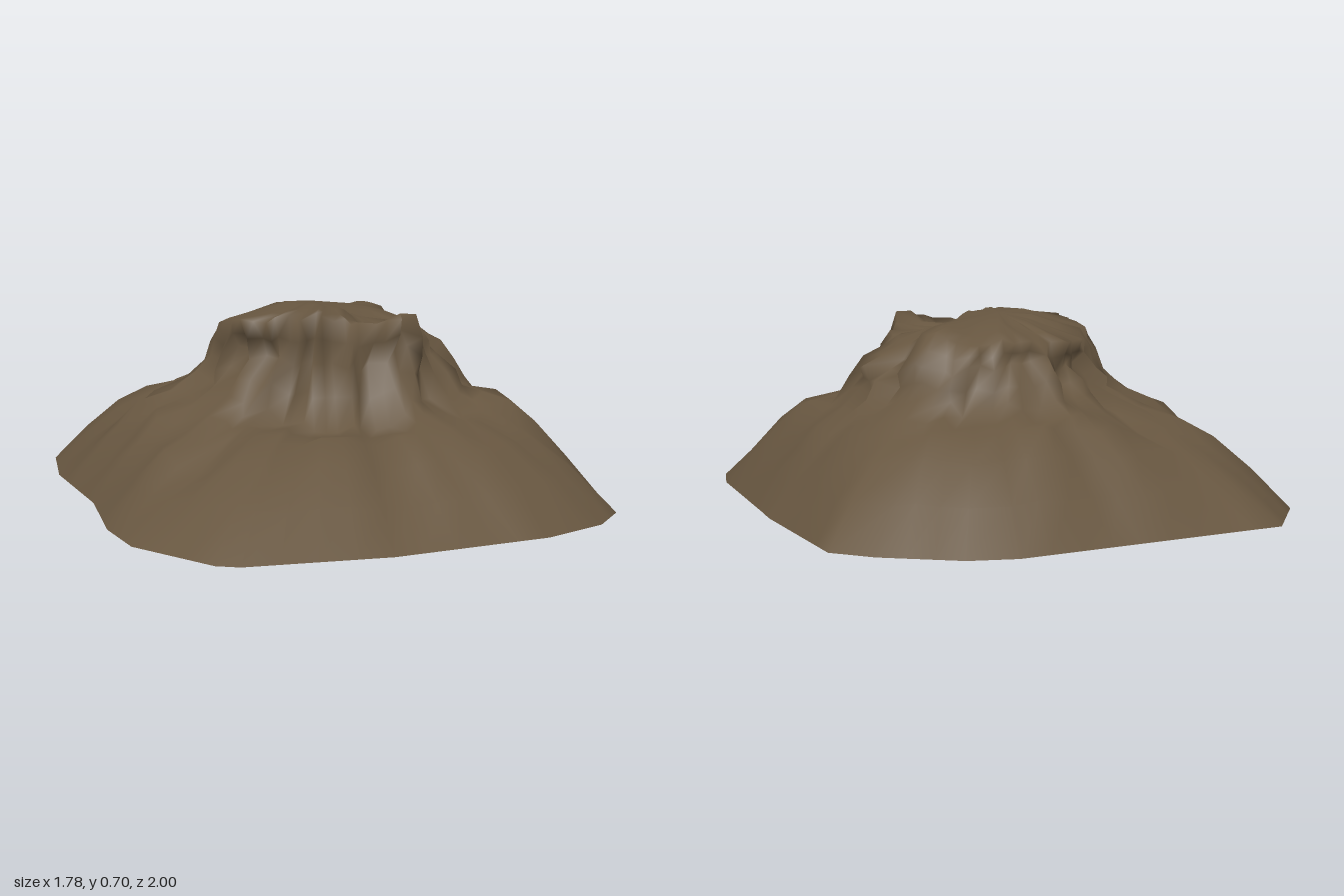
import * as THREE from 'three';

// Foot of the mound seen from above: x, z, height, running from +x towards +z
const OUTLINE = [[0.89, -0.05, 0.02], [0.89, 0.54, 0.01], [0.85, 0.74, 0], [0.72, 0.86, 0], [0.46, 0.97, 0.01],
  [-0.1, 1, 0.01], [-0.59, 0.97, 0.02], [-0.66, 0.93, 0.02], [-0.85, 0.64, 0.02], [-0.88, 0.42, 0.02],
  [-0.86, 0.1, 0.03], [-0.89, -0.4, 0.02], [-0.85, -0.7, 0.02], [-0.65, -0.95, 0.03], [0.32, -1, 0.03],
  [0.48, -0.96, 0.03], [0.71, -0.78, 0.02], [0.83, -0.67, 0.02], [0.89, -0.15, 0.02]];

// Rings above the foot: radius and height every 30 degrees, and crag size
const RINGS = [
  { r: [0.59, 0.66, 0.64, 0.60, 0.63, 0.68, 0.66, 0.71, 0.62, 0.58, 0.62, 0.61],
    y: [0.30, 0.34, 0.30, 0.27, 0.29, 0.28, 0.32, 0.31, 0.32, 0.36, 0.34, 0.33], crag: 0.035 },
  { r: [0.49, 0.49, 0.48, 0.42, 0.43, 0.47, 0.49, 0.46, 0.42, 0.42, 0.45, 0.49],
    y: [0.43, 0.40, 0.37, 0.28, 0.28, 0.36, 0.43, 0.42, 0.40, 0.42, 0.40, 0.42], crag: 0.05 },
  { r: [0.43, 0.38, 0.42, 0.33, 0.30, 0.35, 0.43, 0.38, 0.33, 0.33, 0.37, 0.42],
    y: [0.53, 0.52, 0.52, 0.50, 0.50, 0.52, 0.55, 0.50, 0.50, 0.54, 0.52, 0.53], crag: 0.045 },
  { r: [0.31, 0.30, 0.40, 0.30, 0.33, 0.41, 0.39, 0.36, 0.33, 0.31, 0.33, 0.32],
    y: [0.63, 0.60, 0.64, 0.65, 0.67, 0.65, 0.63, 0.60, 0.60, 0.62, 0.61, 0.63], crag: 0.025 },
  { r: Array(12).fill(0.17),
    y: [0.65, 0.62, 0.64, 0.68, 0.69, 0.69, 0.69, 0.67, 0.66, 0.66, 0.65, 0.66], crag: 0.012 },
];
const CENTRE = [0.06, -0.05], STEP = 0.11;

// Ridges (positive) and hollows (negative): x, z, width, height
const FOLDS = [[-0.68, 0.25, 0.07, 0.03], [-0.58, 0.45, 0.08, -0.04], [-0.5, 0.72, 0.07, 0.03],
  [-0.36, 0.62, 0.07, -0.03], [0.12, 0.2, 0.07, -0.04], [0.24, 0.3, 0.06, 0.03], [0.42, 0.38, 0.08, -0.04],
  [0.6, 0.22, 0.06, 0.03], [0.56, 0.5, 0.07, -0.03], [0.4, -0.12, 0.07, -0.05], [0.28, -0.2, 0.07, 0.02],
  [0.45, -0.58, 0.07, 0.03], [0.08, -0.55, 0.07, -0.03], [-0.12, -0.6, 0.06, 0.03]];

function seeded(seed) {
  return () => {
    seed = (seed * 1664525 + 1013904223) % 4294967296;
    return seed / 2147483648 - 1;
  };
}

// Value of a 12-entry table at an angle
function around(table, angle) {
  const t = ((angle / (Math.PI * 2) + 1) % 1) * 12, i = Math.floor(t) % 12;
  return THREE.MathUtils.lerp(table[i], table[(i + 1) % 12], t - Math.floor(t));
}

function moundGeometry() {
  const rand = seeded(41), rows = [];

  // Foot, following the outline in roughly even steps
  const foot = OUTLINE.flatMap(([x, z, y], i) => {
    const a = new THREE.Vector3(x, y, z), next = OUTLINE[(i + 1) % OUTLINE.length];
    const b = new THREE.Vector3(next[0], next[2], next[1]);
    const steps = Math.max(1, Math.round(a.distanceTo(b) / STEP));
    return Array.from({ length: steps }, (_, s) => a.clone().lerp(b, s / steps));
  });
  rows.push(foot);
  const angles = foot.map(p => Math.atan2(p.z - CENTRE[1], p.x - CENTRE[0]));

  // Apron crest, cliff foot, cliff face, overhanging rim and plateau
  const main = RINGS.map(({ r, y, crag }) => angles.map(a => {
    const angle = a + rand() * 0.035, radius = around(r, a) + rand() * crag;
    return new THREE.Vector3(CENTRE[0] + Math.cos(angle) * radius,
      around(y, a) + rand() * crag * 0.5, CENTRE[1] + Math.sin(angle) * radius);
  }));

  // Smooth, slightly swollen lower slope
  for (const t of [0.35, 0.7]) {
    rows.push(foot.map((p, i) => {
      const q = p.clone().lerp(main[0][i], t);
      q.y += 0.015 * Math.abs(Math.sin(angles[i])) + 0.02 * Math.abs(Math.sin(angles[i] * 2)) + rand() * 0.006;
      return q;
    }));
  }

  // Broken rock between the main rings
  main.forEach((row, k) => {
    rows.push(row);
    if (k === main.length - 1) return;
    rows.push(row.map((p, i) => {
      const q = p.clone().lerp(main[k + 1][i], 0.5), push = rand() * RINGS[k + 1].crag * 0.7;
      q.x += Math.cos(angles[i]) * push;
      q.z += Math.sin(angles[i]) * push;
      return q;
    }));
  });

  // Ridges and hollows, leaving the foot in place
  for (const p of rows.slice(1).flat()) {
    for (const [x, z, width, height] of FOLDS) {
      p.y += height * Math.exp(-((p.x - x) ** 2 + (p.z - z) ** 2) / (width * width));
    }
  }

  // Join the rows, then close the top with a fan
  const n = foot.length, points = rows.flat(), index = [];
  for (let k = 0; k < rows.length - 1; k++) {
    for (let i = 0; i < n; i++) {
      const a = k * n + i, b = k * n + (i + 1) % n;
      index.push(a, a + n, b, b, a + n, b + n);
    }
  }
  const last = (rows.length - 1) * n, tip = points.length;
  points.push(new THREE.Vector3(CENTRE[0] - 0.06, 0.69, CENTRE[1]));
  for (let i = 0; i < n; i++) index.push(last + i, tip, last + (i + 1) % n);

  const geometry = new THREE.BufferGeometry().setFromPoints(points);
  geometry.setIndex(index);
  geometry.computeVertexNormals();
  return geometry;
}

export function createModel() {
  const group = new THREE.Group();
  group.name = 'rockyHill';
  const rock = new THREE.MeshStandardMaterial({ color: 0x675640, side: THREE.DoubleSide });
  rock.name = 'brownRock';
  const mound = new THREE.Mesh(moundGeometry(), rock);
  mound.name = 'rockMound';
  group.add(mound);
  return group;
}
